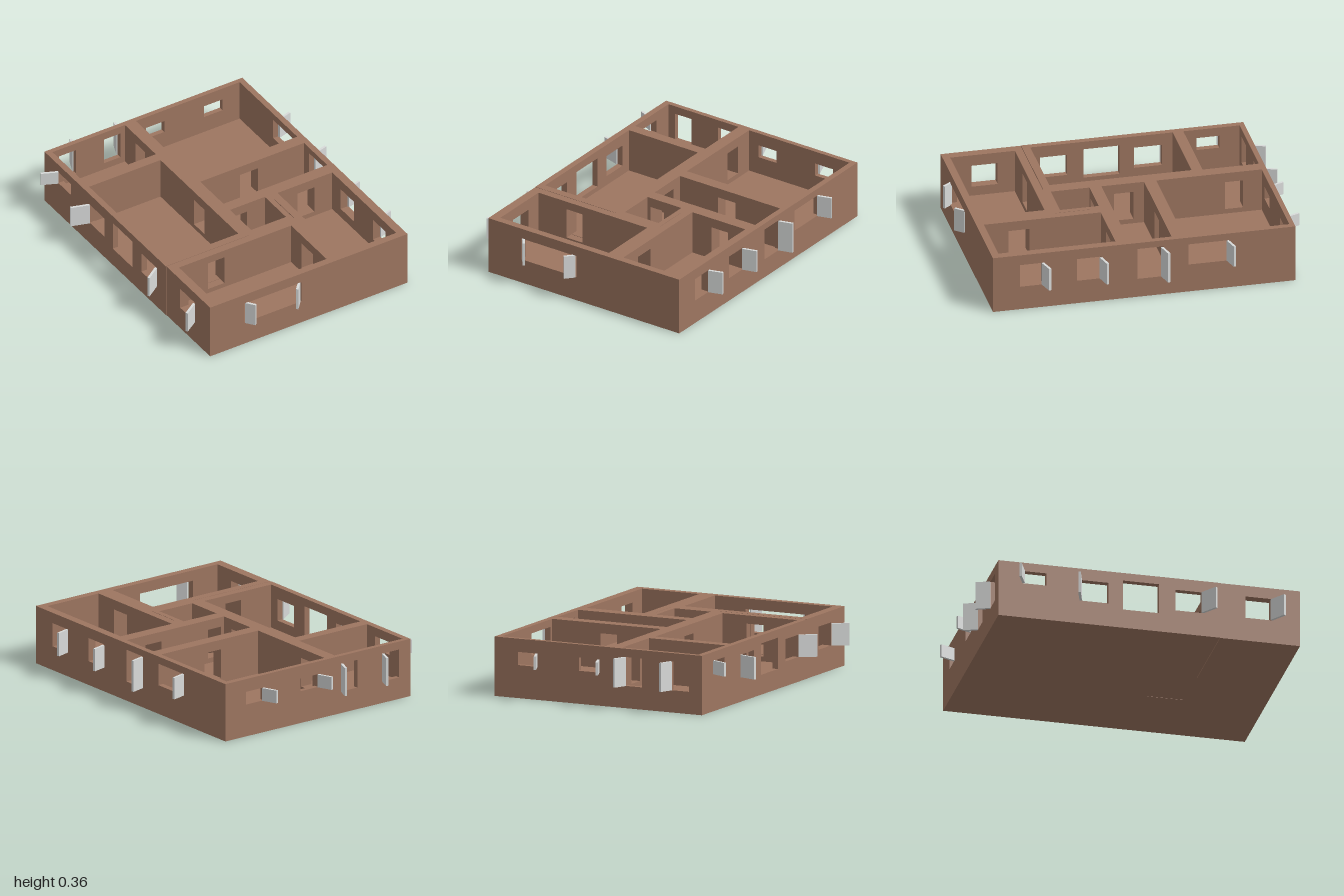
import * as THREE from 'three';

const FLOOR = 0.09, SILL = 0.12, TOP = 0.36;

export function createModel() {
  const house = new THREE.Group();
  house.name = 'house';
  const brown = new THREE.MeshStandardMaterial({ color: 0x9d7560 });
  brown.name = 'clayBrown';
  const grey = new THREE.MeshStandardMaterial({ color: 0xd8dad9 });
  grey.name = 'shutterGrey';

  function add(name, geometry, material) {
    const mesh = new THREE.Mesh(geometry, material);
    mesh.name = name;
    house.add(mesh);
    return mesh;
  }

  // Wall panel running along x or z; openings are [from, to, bottom, top]
  function wall(name, axis, from, to, near, far, openings = []) {
    const rect = (target, a, b, y0, y1) => {
      const [u0, u1] = axis === 'x' ? [a, b] : [-b, -a];
      target.moveTo(u0, y0);
      target.lineTo(u1, y0);
      target.lineTo(u1, y1);
      target.lineTo(u0, y1);
      target.closePath();
      return target;
    };
    const shape = rect(new THREE.Shape(), from, to, FLOOR, TOP);
    for (const o of openings) shape.holes.push(rect(new THREE.Path(), ...o));
    const geo = new THREE.ExtrudeGeometry(shape, { depth: far - near, bevelEnabled: false });
    geo.translate(0, 0, near);
    if (axis === 'z') geo.rotateY(Math.PI / 2);
    add(name, geo, brown);
  }
  const door = (a, b, top = 0.3) => [a, b, SILL, top];

  // Floor slab with a narrow joint from the left side and another under the closet wall
  const points = (list) => list.map(([x, z]) => new THREE.Vector2(x, -z));
  const plan = new THREE.Shape(points([
    [-0.682, 0.945], [0.707, 0.945], [0.707, -0.905], [-0.685, -0.905],
    [-0.685, 0.453], [-0.1, 0.453], [-0.1, 0.456], [-0.682, 0.456],
  ]));
  plan.holes.push(new THREE.Path(points([[0.218, 0.23], [0.221, 0.23], [0.221, 0.45], [0.218, 0.45]])));
  add('floorSlab', new THREE.ExtrudeGeometry(plan, { depth: FLOOR, bevelEnabled: false })
    .rotateX(-Math.PI / 2), brown);

  // Outer walls
  wall('leftSideWallBack', 'z', -0.905, 0.405, -0.685, -0.647, [
    [-0.75, -0.61, 0.225, 0.305], [-0.4, -0.23, 0.15, 0.285], door(-0.14, 0.08, 0.31), [0.18, 0.345, 0.15, 0.285],
  ]);
  wall('leftSideWallCorner', 'z', 0.405, 0.453, -0.685, -0.625);
  wall('leftSideWallFront', 'z', 0.456, 0.945, -0.682, -0.625, [[0.61, 0.77, 0.15, 0.29]]);
  wall('rightSideWallBack', 'z', -0.905, 0.105, 0.67, 0.707, [
    [-0.5, -0.25, 0.18, 0.315], door(-0.1, 0.06, 0.32),
  ]);
  wall('rightSideWallFront', 'z', 0.105, 0.945, 0.655, 0.707, [
    [0.28, 0.43, 0.15, 0.295], [0.64, 0.78, 0.15, 0.295],
  ]);
  wall('backWall', 'x', -0.647, 0.67, -0.905, -0.875, [
    [-0.6, -0.48, 0.135, 0.31], [-0.285, -0.17, 0.135, 0.31], [0.01, 0.14, 0.2, 0.28], [0.42, 0.55, 0.2, 0.28],
  ]);
  wall('frontWall', 'x', -0.625, 0.655, 0.9, 0.945, [[-0.44, -0.04, 0.155, 0.295]]);

  // Inner walls
  wall('middleWallBack', 'z', -0.875, -0.53, -0.137, -0.06, [door(-0.76, -0.65)]);
  wall('middleWallFront', 'z', -0.53, 0.405, -0.145, -0.06, [door(-0.09, 0.03)]);
  wall('backLeftPartition', 'x', -0.647, -0.145, -0.53, -0.465);
  const frontDoor = [door(-0.42, -0.305, 0.31)];
  wall('frontPartitionInner', 'x', -0.625, -0.1, 0.405, 0.453, frontDoor);
  wall('frontPartitionOuter', 'x', -0.625, -0.1, 0.456, 0.505, frontDoor);
  wall('frontPartitionMiddle', 'x', -0.1, -0.06, 0.405, 0.505);
  wall('frontPartitionEnd', 'x', -0.06, 0.165, 0.415, 0.505);
  wall('backRightPartition', 'x', -0.06, 0.67, -0.23, -0.155, [door(0.22, 0.345)]);
  wall('hallPartitionCloset', 'x', -0.06, 0.27, 0.105, 0.178, [door(-0.04, 0.06)]);
  wall('hallPartitionBedroom', 'x', 0.27, 0.655, 0.105, 0.185, [door(0.41, 0.53)]);
  wall('closetWallEnd', 'z', 0.178, 0.23, 0.185, 0.27);
  wall('closetWall', 'z', 0.23, 0.415, 0.185, 0.218);
  wall('closetWallFoot', 'z', 0.415, 0.45, 0.165, 0.218);
  wall('bedroomWall', 'z', 0.23, 0.45, 0.221, 0.27);
  wall('frontRoomDivider', 'z', 0.45, 0.9, 0.165, 0.27, [door(0.62, 0.75)]);

  // Open shutters: name, hinge x/z, free edge x/z, bottom, top
  const shutters = [
    ['leftShutter', -0.685, -0.75, -0.782, -0.793, 0.225, 0.308],
    ['leftShutter', -0.685, -0.4, -0.798, -0.435, 0.15, 0.285],
    ['leftShutter', -0.685, 0.345, -0.779, 0.41, 0.15, 0.285],
    ['leftShutter', -0.685, 0.77, -0.775, 0.83, 0.15, 0.285],
    ['rightShutter', 0.705, 0.64, 0.794, 0.614, 0.15, 0.295],
    ['rightShutter', 0.705, 0.285, 0.794, 0.262, 0.15, 0.29],
    ['rightDoorLeaf', 0.705, -0.09, 0.794, -0.113, 0.12, 0.315],
    ['rightShutter', 0.705, -0.49, 0.794, -0.514, 0.18, 0.315],
    ['backShutter', -0.48, -0.905, -0.447, -0.987, 0.135, 0.31],
    ['backShutter', -0.17, -0.905, -0.137, -0.987, 0.135, 0.31],
    ['backShutter', 0.01, -0.905, -0.027, -0.997, 0.2, 0.28],
    ['backShutter', 0.425, -0.905, 0.388, -0.997, 0.2, 0.28],
    ['frontShutter', -0.43, 0.94, -0.39, 0.993, 0.15, 0.298],
    ['frontShutter', -0.053, 0.94, -0.1, 0.993, 0.15, 0.298],
  ];
  for (const [name, hx, hz, ex, ez, y0, y1] of shutters) {
    const leaf = add(name, new THREE.BoxGeometry(Math.hypot(ex - hx, ez - hz), y1 - y0, 0.015), grey);
    leaf.position.set((hx + ex) / 2, (y0 + y1) / 2, (hz + ez) / 2);
    leaf.rotation.y = -Math.atan2(ez - hz, ex - hx);
  }
  return house;
}
